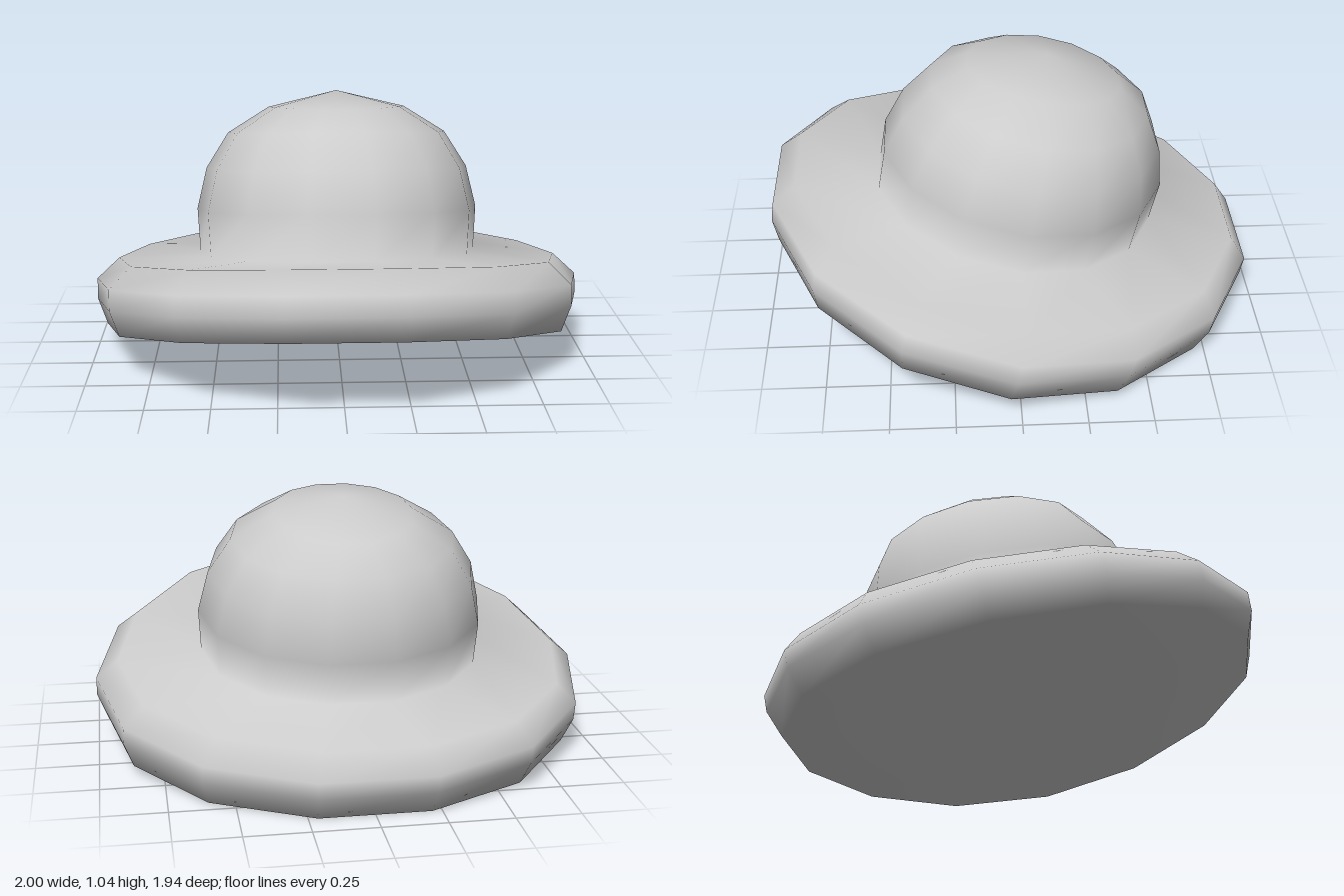
import * as THREE from 'three';

const SIDES = 14;

// Cross-sections from the underside up to the top of the crown.
// Each gives its half width, then [z, y] at the front, sides and back.
const rings = [
  { w: 0.96, front: [0.95, 0.33], side: [0.04, 0.095], back: [-0.89, 0] },      // lower rim edge
  { w: 1.0, front: [0.97, 0.43], side: [0.02, 0.2], back: [-0.955, 0.1] },
  { w: 1.0, front: [0.96, 0.51], side: [0, 0.28], back: [-0.97, 0.17] },
  { w: 0.91, front: [0.87, 0.58], side: [-0.03, 0.36], back: [-0.91, 0.265] },  // upper rim edge
  { w: 0.57, front: [0.54, 0.505], side: [-0.02, 0.39], back: [-0.57, 0.318] }, // crown base
  { w: 0.58, front: [0.51, 0.68], side: [-0.05, 0.565], back: [-0.61, 0.49] },
  { w: 0.54, front: [0.43, 0.83], side: [-0.085, 0.73], back: [-0.6, 0.65] },
  { w: 0.45, front: [0.31, 0.955], side: [-0.12, 0.87], back: [-0.55, 0.8] },
  { w: 0.28, front: [0.17, 1.02], side: [-0.135, 0.975], back: [-0.44, 0.91] },
];

// Curve through back (t = -1), side (t = 0) and front (t = 1)
const bend = (f, s, b, t) => s + ((f - b) / 2) * t + ((f + b) / 2 - s) * t * t;

function hatGeometry() {
  const pos = [], index = [];
  const reach = Math.sin((Math.PI / 2) * (6 / 7)); // foremost corner of the 14-gon

  for (const { w, front, side, back } of rings) {
    for (let j = 0; j < SIDES; j++) {
      const a = (j / SIDES) * Math.PI * 2;
      const t = Math.sin(a) / reach;
      pos.push(
        w * Math.cos(a),
        bend(front[1], side[1], back[1], t),
        bend(front[0], side[0], back[0], t)
      );
    }
  }
  const bottom = rings.length * SIDES, top = bottom + 1;
  pos.push(0, 0.1, 0.04, 0, 1.04, -0.15);

  const last = (rings.length - 1) * SIDES;
  for (let j = 0; j < SIDES; j++) {
    const k = (j + 1) % SIDES;
    index.push(bottom, j, k);           // underside
    index.push(top, last + k, last + j); // crown tip
    for (let i = 0; i < last; i += SIDES) {
      index.push(i + j, i + SIDES + j, i + k);
      index.push(i + k, i + SIDES + j, i + SIDES + k);
    }
  }

  const geo = new THREE.BufferGeometry();
  geo.setAttribute('position', new THREE.Float32BufferAttribute(pos, 3));
  geo.setIndex(index);
  geo.computeVertexNormals();
  return geo;
}

export function createModel() {
  const group = new THREE.Group();
  group.name = 'brimmedHat';
  const hat = new THREE.Mesh(
    hatGeometry(),
    new THREE.MeshStandardMaterial({ color: 0xcccccc })
  );
  hat.name = 'crownAndBrim';
  group.add(hat);
  return group;
}
